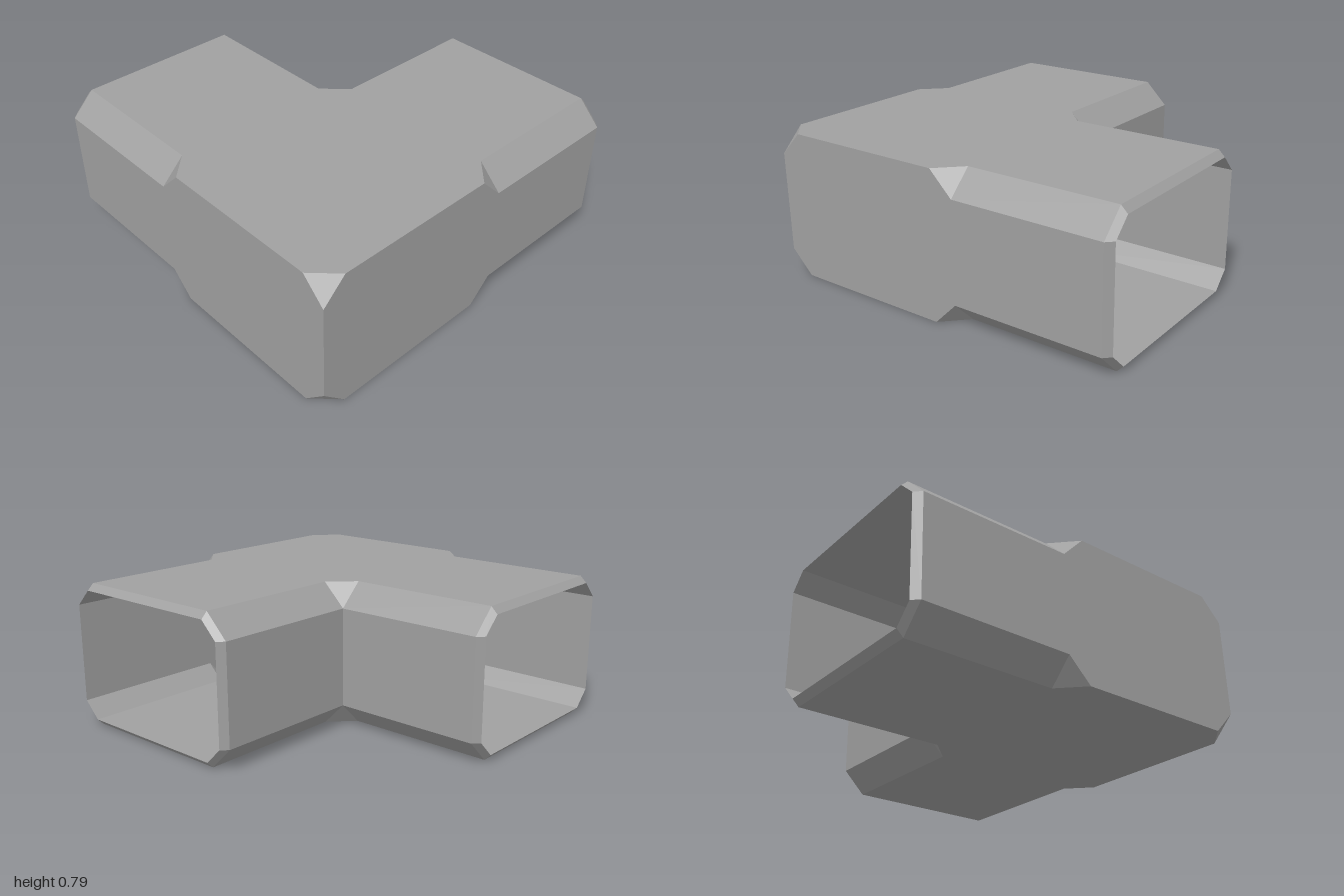
import * as THREE from 'three';

const H = 0.787;        // height
const B = 0.125;        // long chamfer
const R = 0.035;        // wall thickness and depth of the tapered rims
const IN = -0.144;      // inner walls of the elbow
const T = H - B, K = IN + B, O = 1 - B;   // chamfer edges, shared by both skins

// Mirrors: across the diagonal (swap x and z) and top to bottom
const same = (p) => p;
const swap = ([x, y, z]) => [z, y, x];
const flip = ([x, y, z]) => [x, H - y, z];
const both = (p) => flip(swap(p));

const material = new THREE.MeshStandardMaterial({
  color: 0xa0a0a0, flatShading: true, side: THREE.DoubleSide,
});

// Triangulates a flat polygon and winds it towards the outward direction
function addFace(out, points, outward) {
  const v = points.map((p) => new THREE.Vector3(...p));
  const n = new THREE.Vector3();
  v.forEach((a, i) => n.add(a.clone().cross(v[(i + 1) % v.length])));
  if (n.dot(outward) < 0) { v.reverse(); n.negate(); }
  n.normalize();
  const turn = new THREE.Quaternion().setFromUnitVectors(n, new THREE.Vector3(0, 0, 1));
  const flat = v.map((p) => {
    const q = p.clone().applyQuaternion(turn);
    return new THREE.Vector2(q.x, q.y);
  });
  for (const tri of THREE.ShapeUtils.triangulateShape(flat, [])) {
    for (const i of tri) out.push(...v[i].toArray());
  }
}

// One named part from [points, outward] faces and their mirrored copies;
// side is 1 for faces seen from outside, -1 for faces seen from within
function part(name, side, mirrors, faces) {
  const out = [];
  for (const m of mirrors) {
    const zero = new THREE.Vector3(...m([0, 0, 0]));
    for (const [points, dir] of faces) {
      const outward = new THREE.Vector3(...m(dir)).sub(zero).multiplyScalar(side);
      addFace(out, points.map(m), outward);
    }
  }
  const geometry = new THREE.BufferGeometry();
  geometry.setAttribute('position', new THREE.Float32BufferAttribute(out, 3));
  geometry.computeVertexNormals();
  const mesh = new THREE.Mesh(geometry, material);
  mesh.name = name;
  return mesh;
}

// One skin of the elbow, set in by d, with its arms ending at E
function skin(name, d, E, side) {
  const lo = IN + d, hi = 1 - d, top = H - d;
  const group = new THREE.Group();
  group.name = name;

  // L-shaped top and bottom
  const plate = [
    [E, K], [lo, K], [K, lo], [K, E], [O, E], [O, lo], [hi, K],
    [hi, O], [O, hi], [K, hi], [lo, O], [E, O],
  ].map(([x, z]) => [x, top, z]);
  group.add(part('topAndBottom', side, [same, flip], [[plate, [0, 1, 0]]]));

  // Walls outside the bend, full height around the corner
  const wall = [
    [E, T], [lo, T], [K, top], [O, top], [hi, T],
    [hi, B], [O, d], [K, d], [lo, B], [E, B],
  ].map(([x, y]) => [x, y, hi]);
  group.add(part('outerWalls', side, [same, swap], [[wall, [0, 0, 1]]]));

  // Walls inside the bend
  group.add(part('innerWalls', side, [same, swap], [
    [[[E, T, lo], [lo, T, lo], [lo, B, lo], [E, B, lo]], [0, 0, -1]],
  ]));

  // Long chamfers on the arms, with the small stop at the end of the outer ones
  group.add(part('armChamfers', side, [same, swap, flip, both], [
    [[[E, T, hi], [lo, T, hi], [lo, top, O], [E, top, O]], [0, 1, 1]],
    [[[lo, T, hi], [K, top, hi], [lo, top, O]], [-1, 1, 1]],
    [[[E, T, lo], [lo, T, lo], [lo, top, K], [E, top, K]], [0, 1, -1]],
  ]));

  // Cut corners at the outside and inside of the bend
  group.add(part('bendCorners', side, [same, flip], [
    [[[O, top, hi], [hi, top, O], [hi, T, hi]], [1, 1, 1]],
    [[[lo, T, lo], [lo, top, K], [K, top, lo]], [-1, 1, -1]],
  ]));
  return group;
}

// Octagonal arm section at x, set in by d
function section(x, d) {
  const lo = IN + d, hi = 1 - d;
  return [[T, hi], [H - d, O], [H - d, K], [T, lo], [B, lo], [d, K], [d, O], [B, hi]]
    .map(([y, z]) => [x, y, z]);
}

export function createModel() {
  const group = new THREE.Group();
  group.name = 'elbowDuct';
  group.add(skin('outerSkin', 0, -1 + R, 1), skin('innerSkin', R, -1, -1));

  // Tapered rims joining the two skins around both open ends
  const a = section(-1 + R, 0), b = section(-1, R);
  const rim = a.map((p, i) => {
    const j = (i + 1) % a.length;
    const dir = [-0.01, (p[1] + a[j][1]) / 2 - H / 2, (p[2] + a[j][2]) / 2 - (1 + IN) / 2];
    return [[p, a[j], b[j], b[i]], dir];
  });
  group.add(part('openRims', 1, [same, swap], rim));

  return group;
}
